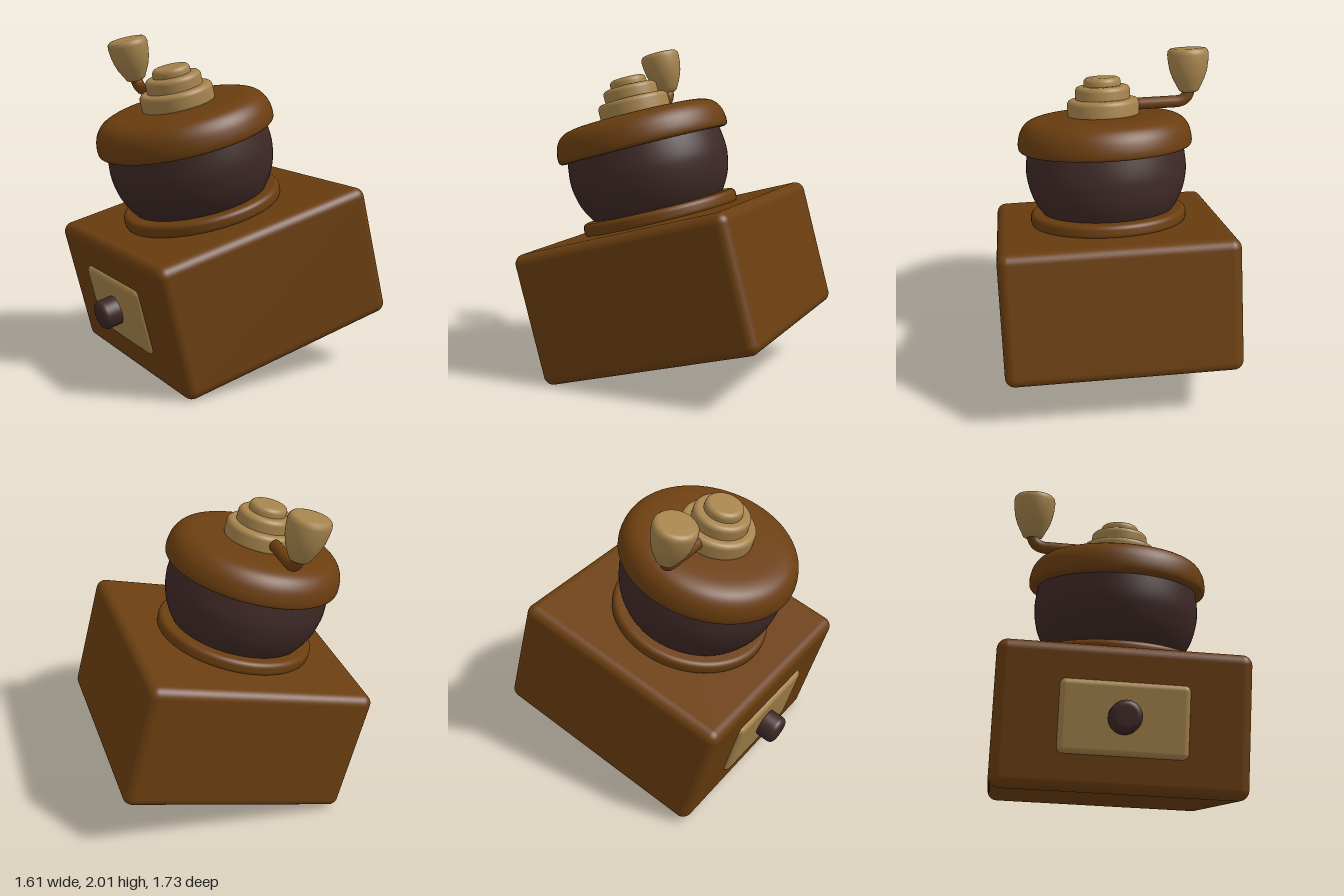
import * as THREE from 'three';
import { RoundedBoxGeometry } from 'three/addons/geometries/RoundedBoxGeometry.js';

const material = (color) => new THREE.MeshStandardMaterial({ color });

export function createModel() {
  const wood = material(0x6b3e10);
  const dark = material(0x3e2926);
  const tan = material(0xa5834c);

  const model = new THREE.Group();
  model.name = 'coffeeGrinder';

  // Upright grinder, leaned and turned as a whole
  const grinder = new THREE.Group();
  grinder.name = 'grinder';
  grinder.rotation.set(0.26, -0.15, 0.021);
  grinder.position.set(0.005, 0.181, -0.102);
  model.add(grinder);

  const add = (name, geometry, mat, x = 0, y = 0, z = 0) => {
    const mesh = new THREE.Mesh(geometry, mat);
    mesh.name = name;
    mesh.position.set(x, y, z);
    grinder.add(mesh);
    return mesh;
  };

  // Turned part from [radius, height] points, bottom to top
  const turned = (points) =>
    new THREE.LatheGeometry(points.map(([r, y]) => new THREE.Vector2(r, y)), 64);

  // Disc with a rounded upper and lower rim
  const disc = (radius, y0, y1, bevel) => {
    const points = [[0, y0]];
    for (let i = 0; i <= 6; i++) {
      const a = (i / 6 - 1) * Math.PI / 2;
      points.push([radius - bevel + bevel * Math.cos(a), y0 + bevel + bevel * Math.sin(a)]);
    }
    for (let i = 0; i <= 6; i++) {
      const a = (i / 6) * Math.PI / 2;
      points.push([radius - bevel + bevel * Math.cos(a), y1 - bevel + bevel * Math.sin(a)]);
    }
    points.push([0, y1]);
    return turned(points);
  };

  // Box body
  add('body', new RoundedBoxGeometry(1.42, 0.81, 1.42, 6, 0.06), wood, 0, 0.405, 0);

  // Drawer front and its pull
  add('drawerFront', new RoundedBoxGeometry(0.72, 0.41, 0.08, 4, 0.035), tan, 0, 0.402, 0.695);
  const pull = add('drawerPull', disc(0.09, 0, 0.14, 0.035), dark, -0.005, 0.402, 0.71);
  pull.rotation.x = Math.PI / 2;

  // Bean bowl, collar and lid share one axis
  const axisZ = 0.02;
  add('collar', disc(0.49, 0.8, 0.885, 0.03), wood, 0, 0, axisZ);

  const bowlCurve = new THREE.SplineCurve([
    [0.38, 0.85], [0.43, 0.91], [0.475, 1.0], [0.498, 1.1], [0.5, 1.18], [0.485, 1.3],
  ].map(([r, y]) => new THREE.Vector2(r, y)));
  add('bowl', new THREE.LatheGeometry(bowlCurve.getPoints(24), 64), dark, 0, 0, axisZ);

  const lidCurve = new THREE.SplineCurve([
    [0.525, 1.275], [0.54, 1.29], [0.541, 1.335], [0.525, 1.395], [0.485, 1.445],
    [0.42, 1.47], [0.33, 1.477], [0.2, 1.478],
  ].map(([r, y]) => new THREE.Vector2(r, y)));
  const lidPoints = lidCurve.getPoints(32).map((p) => [p.x, p.y]);
  add('lid', turned([[0, 1.275], [0.51, 1.274], ...lidPoints, [0, 1.478]]), wood, 0, 0, axisZ);

  // Stepped cap
  [[0.223, 1.46, 1.578], [0.17, 1.55, 1.658], [0.115, 1.63, 1.71]].forEach(([r, y0, y1], i) =>
    add('capTier' + (i + 1), disc(r, y0, y1, 0.03), tan, 0, 0, axisZ));

  // Crank arm bending up to the grip
  const path = new THREE.CurvePath();
  const v = (x, y) => new THREE.Vector3(x, y, 0);
  path.add(new THREE.LineCurve3(v(-0.1, 1.533), v(-0.45, 1.533)));
  path.add(new THREE.QuadraticBezierCurve3(v(-0.45, 1.533), v(-0.54, 1.533), v(-0.54, 1.62)));
  add('crankArm', new THREE.TubeGeometry(path, 48, 0.037, 16), wood, 0, 0, axisZ);

  // Crank grip
  add('crankGrip', turned([
    [0, 1.588], [0.045, 1.588], [0.06, 1.597], [0.072, 1.62], [0.098, 1.67], [0.115, 1.72],
    [0.124, 1.77], [0.128, 1.82], [0.124, 1.842], [0.112, 1.855], [0.095, 1.858], [0, 1.858],
  ]), tan, -0.54, 0, axisZ);

  return model;
}
